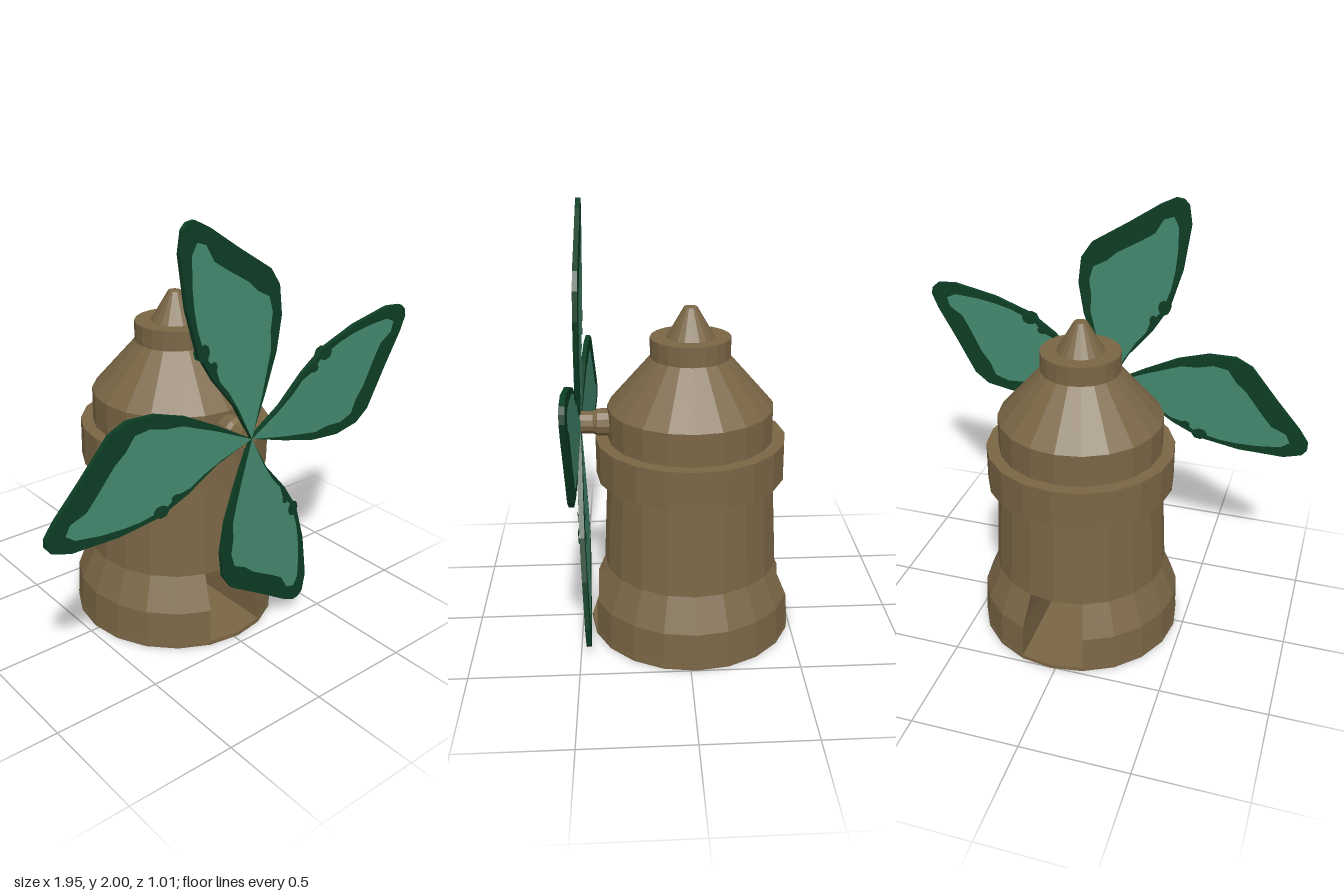
import * as THREE from 'three';

export function createModel() {
  const model = new THREE.Group();
  const mat = (name, color, flatShading) => {
    const m = new THREE.MeshStandardMaterial({ color, flatShading, side: THREE.DoubleSide });
    m.name = name;
    return m;
  };
  const stone = mat('brown', 0x7a6645, true);
  const rim = mat('darkGreen', 0x0d3d24, true);
  const leaf = mat('green', 0x44896f, true);

  const add = (parent, name, geometry, material) => {
    const mesh = new THREE.Mesh(geometry, material);
    mesh.name = name;
    parent.add(mesh);
    return mesh;
  };

  // Tower: twenty-sided turned sections
  const tower = new THREE.Group();
  tower.name = 'tower';
  tower.position.set(0.02, 0, -0.025);
  model.add(tower);
  const turned = (name, pts, start = 0, length = Math.PI * 2, sides = 20) =>
    add(tower, name, new THREE.LatheGeometry(
      pts.map(([r, y]) => new THREE.Vector2(r, y)), sides, start, length), stone);

  turned('basePlate', [[0, 0], [0.48, 0], [0.48, 0.02], [0, 0.02]]);
  turned('body', [[0, 0.34], [0.41, 0.34], [0.387, 0.78], [0.38, 0.96], [0.38, 1.11],
    [0.18, 1.34], [0, 1.34]]);
  turned('balconyRing', [[0.37, 0.78], [0.437, 0.78], [0.437, 0.96], [0.37, 0.96]]);
  turned('cap', [[0, 1.34], [0.182, 1.34], [0.182, 1.43], [0, 1.43]]);
  turned('finial', [[0.108, 1.43], [0.03, 1.565], [0, 1.57]]);

  // Foot walls, split by a passage from front to back
  const foot = [[0.478, 0.02], [0.472, 0.18], [0.403, 0.34]];
  const gap = Math.PI / 10;
  for (const side of [1, -1]) {
    turned('footWall', foot, side > 0 ? gap : Math.PI + gap, Math.PI - 2 * gap, 8);
    const jamb = new THREE.PlaneGeometry(1, 1, 1, foot.length - 1);
    const p = jamb.attributes.position;
    for (let i = 0; i < p.count; i++) {
      const [r, y] = foot[Math.floor(i / 2)];
      p.setXYZ(i, side * r * Math.sin(gap), y, (i % 2 ? 1 : -1) * r * Math.cos(gap));
    }
    jamb.computeVertexNormals();
    add(tower, 'passageWall', jamb, stone);
  }

  // Axle, stepped toward the sails
  const axle = add(model, 'axle', new THREE.LatheGeometry(
    [[0.065, 0], [0.063, 0.09], [0.052, 0.11], [0.052, 0.17], [0, 0.17]]
      .map(([r, y]) => new THREE.Vector2(r, y)), 12), stone);
  axle.rotation.x = Math.PI / 2;
  axle.position.set(0.02, 1.03, 0.31);

  // Sails: leaf outlines with the hub at the origin
  const toShape = (pts) => new THREE.Shape(pts.map(([x, y]) => new THREE.Vector2(x / 100, y / 100)));
  const outline = toShape([[0, 0], [-9.5, 17], [-21, 31], [-29, 44], [-34.5, 63], [-37.5, 85],
    [-36, 94], [-33.5, 96.5], [-30, 97], [-23, 93.5], [-8, 83.5], [9.5, 72.5], [14.5, 65],
    [16, 52], [13.5, 36.5], [7.5, 19]]);
  const inner = toShape([[0, 0], [-7.5, 15], [-13, 24], [-18, 30], [-20, 36], [-25.5, 42], [-29.5, 54],
    [-31, 62], [-32, 72], [-32, 84], [-29.5, 88.5], [-25, 87], [-21, 80], [-14, 75.5], [-8, 72],
    [-3, 69], [2, 64.5], [8.5, 61], [10.5, 54], [9.5, 46], [10, 38], [5.5, 19]]);
  const rimGeo = new THREE.ExtrudeGeometry(outline, { depth: 0.022, bevelEnabled: false });
  rimGeo.translate(0, 0, -0.011);
  const panelGeo = new THREE.ShapeGeometry(inner);
  const spots = [[-0.265, 0.44, 0.03], [-0.215, 0.37, 0.02]];

  const sails = new THREE.Group();
  sails.name = 'sails';
  sails.position.set(0.025, 1.027, 0.488);
  model.add(sails);
  // Turn about the hub, then backward lean, in radians
  for (const [turn, lean] of [[0, 0.024], [-86, -0.004], [82, 0.048], [182, 0.03]]) {
    const arm = new THREE.Group();
    arm.name = 'sail';
    arm.rotation.order = 'ZXY';
    arm.rotation.set(-lean, 0, THREE.MathUtils.degToRad(turn));
    sails.add(arm);
    add(arm, 'sailRim', rimGeo, rim);
    for (const face of [1, -1]) {
      add(arm, 'sailPanel', panelGeo, leaf).position.z = face * 0.0135;
      for (const [x, y, r] of spots) {
        const spot = add(arm, 'sailSpot', new THREE.CircleGeometry(r, 8), rim);
        spot.position.set(x, y, face * 0.016);
        spot.scale.y = 1.3;
      }
    }
  }
  return model;
}
